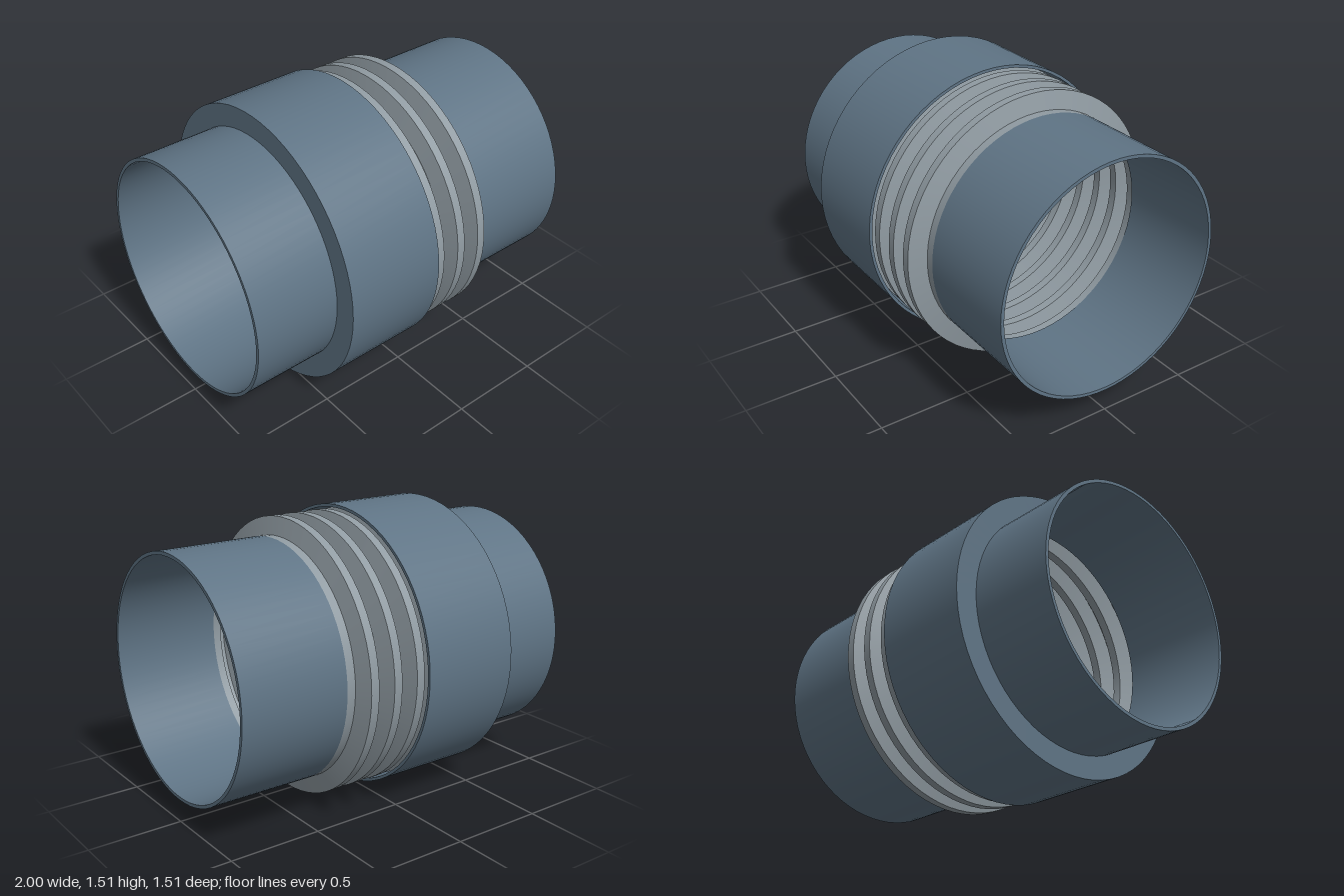
import * as THREE from 'three';
import { toCreasedNormals } from 'three/addons/utils/BufferGeometryUtils.js';

const AXIS_Y = 0.757; // height of the pipe axis
const R = 0.637; // outer pipe radius
const WALL = 0.018;

const steel = new THREE.MeshStandardMaterial({ color: 0x5f7485, side: THREE.DoubleSide });
const bright = new THREE.MeshStandardMaterial({ color: 0x909ba2, side: THREE.DoubleSide });

// Revolves a closed profile of [x, radius] pairs around the x axis
function revolve(name, profile, material) {
  const points = [...profile, profile[0]].map(([x, r]) => new THREE.Vector2(r, x));
  const geometry = new THREE.LatheGeometry(points, 72).rotateZ(-Math.PI / 2);
  const mesh = new THREE.Mesh(toCreasedNormals(geometry, 0.3), material);
  mesh.name = name;
  return mesh;
}

// Plain tube between two x positions
const tube = (name, x0, x1) =>
  revolve(name, [[x0, R], [x1, R], [x1, R - WALL], [x0, R - WALL]], steel);

// Corrugated wall: each wave rises, runs flat, falls and runs flat again
function bellowsProfile() {
  const start = -0.42, pitch = 0.14, waves = 6, crest = 0.732, t = 0.012;
  const outer = [[start, R]];
  for (let i = 0; i < waves; i++) {
    const x = start + i * pitch;
    if (i > 0) outer.push([x, R]);
    outer.push([x + pitch / 6, crest], [x + pitch / 2, crest], [x + pitch * 2 / 3, R]);
  }
  outer.push([start + waves * pitch, R]);
  const inner = outer.map(([x, r]) => [x, r - t]).reverse();
  return [...outer, ...inner];
}

export function createModel() {
  const group = new THREE.Group();
  group.name = 'expansionJoint';

  // Pipe ends on both sides of the bellows
  group.add(tube('rightPipe', -1, -0.42), tube('leftPipe', 0.42, 1));

  group.add(revolve('bellows', bellowsProfile(), bright));

  // Protective sleeve: closed onto the pipe at one end, open over the bellows
  const outer = 0.757, inner = 0.741, x0 = -0.54, x1 = 0.01;
  group.add(revolve('sleeve', [
    [x0, R], [x0, outer], [x1, outer], [x1, inner], [x0 + WALL, inner], [x0 + WALL, R],
  ], steel));

  group.children.forEach((part) => { part.position.y = AXIS_Y; });
  return group;
}
